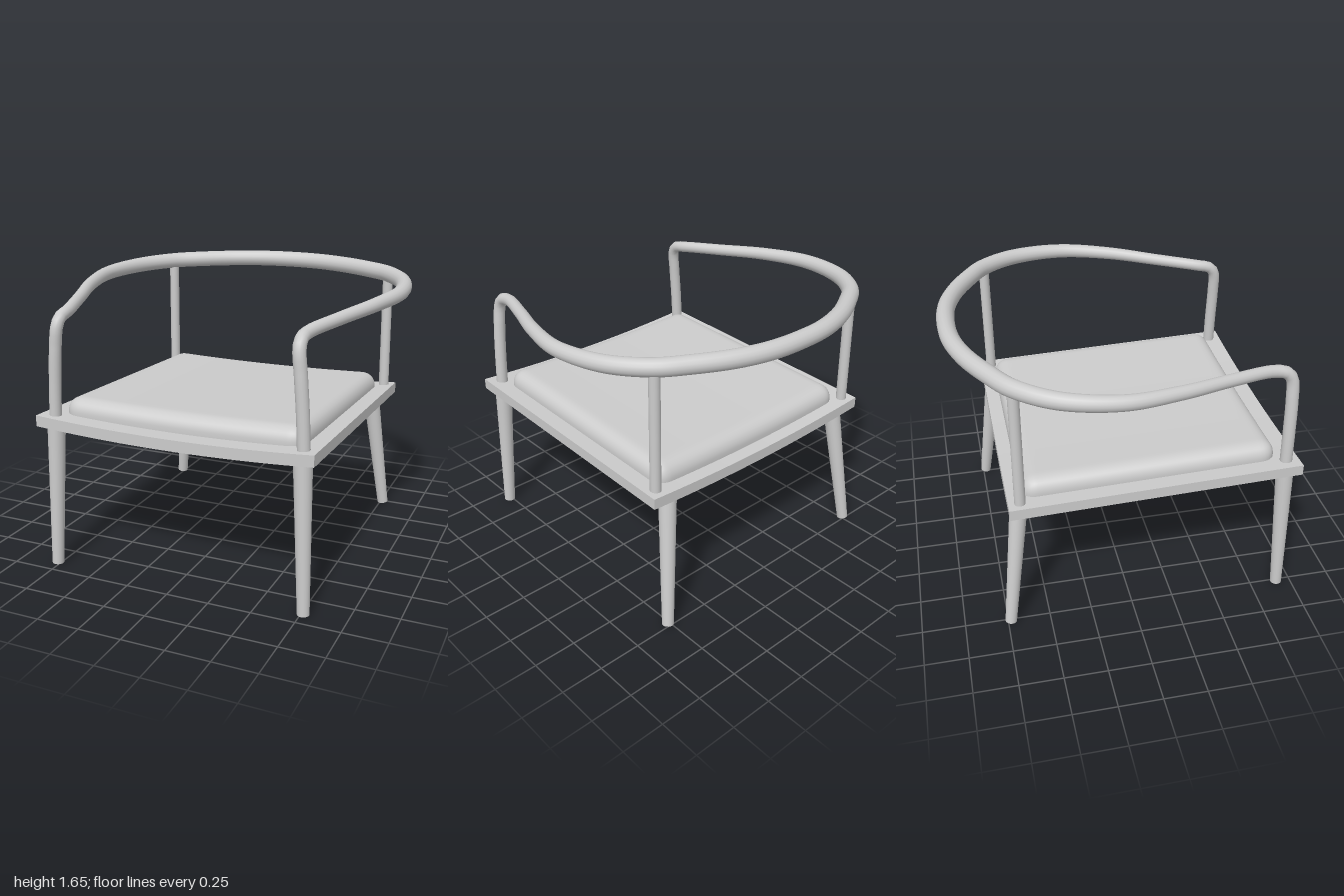
import * as THREE from 'three';
import { mergeVertices } from 'three/addons/utils/BufferGeometryUtils.js';

const material = new THREE.MeshStandardMaterial({ color: 0xcccccc });
const v = (x, y, z) => new THREE.Vector3(x, y, z);

function add(group, name, geometry) {
  const mesh = new THREE.Mesh(geometry, material);
  mesh.name = name;
  group.add(mesh);
  return mesh;
}

function moveVertices(geometry, rule) {
  const pos = geometry.attributes.position, p = v(0, 0, 0);
  for (let i = 0; i < pos.count; i++) {
    p.fromBufferAttribute(pos, i);
    rule(p, i);
    pos.setXYZ(i, p.x, p.y, p.z);
  }
  geometry.computeVertexNormals();
  return geometry;
}

// Seat surface: falls towards the back and sags across the width
const seatHeight = (x, z) => 0.888 + 0.033 * z - 0.03 * (1 - (x / 0.82) ** 2);
const bendToSeat = (p) => { p.y += seatHeight(p.x, p.z); };

// Box given by its limits, bent to the seat surface
function seatBox(x0, x1, y0, y1, z0, z1) {
  const g = new THREE.BoxGeometry(x1 - x0, y1 - y0, z1 - z0, x1 - x0 > 1 ? 20 : 1, 1, 1);
  g.translate((x0 + x1) / 2, (y0 + y1) / 2, (z0 + z1) / 2);
  return moveVertices(g, bendToSeat);
}

// Round bar from one point to another, with its own radius at each end
function bar(group, name, bottom, top, rBottom, rTop) {
  const dir = top.clone().sub(bottom);
  const mesh = add(group, name, new THREE.CylinderGeometry(rTop, rBottom, dir.length(), 20));
  mesh.position.copy(bottom).add(top).multiplyScalar(0.5);
  mesh.quaternion.setFromUnitVectors(v(0, 1, 0), dir.normalize());
}

// Cushion: box with rounded edges, flat below, slightly crowned on top
function cushionGeometry() {
  const half = v(0.72, 0.095, 0.73), r = 0.085;
  const box = new THREE.BoxGeometry(half.x * 2, half.y * 2, half.z * 2, 60, 10, 60);
  box.deleteAttribute('uv');
  box.deleteAttribute('normal');
  const inner = half.clone().subScalar(r), low = inner.clone().negate();
  return moveVertices(mergeVertices(box), (p) => {
    const core = p.clone().clamp(low, inner);
    p.sub(core).setLength(r).add(core);
    p.y = Math.max(p.y, -0.02);
    if (p.y > 0) p.y += 0.008 * (1 - (p.x / half.x) ** 2);
    p.z += 0.11;
    bendToSeat(p);
  });
}

// Arm and back rail: one bent tube, thickest at the back
function railGeometry() {
  const side = [
    v(0.74, 0.89, 0.885), v(0.73, 1.1, 0.885), v(0.715, 1.3, 0.885), v(0.702, 1.425, 0.877),
    v(0.699, 1.467, 0.845), v(0.703, 1.487, 0.765), v(0.79, 1.515, 0.5), v(0.897, 1.542, 0.2),
    v(0.957, 1.56, -0.11), v(0.895, 1.573, -0.42), v(0.75, 1.583, -0.63), v(0.6, 1.588, -0.735),
    v(0.4, 1.592, -0.84), v(0.2, 1.595, -0.9),
  ];
  const mirrored = side.map((p) => v(-p.x, p.y, p.z)).reverse();
  const curve = new THREE.CatmullRomCurve3([...side, v(0, 1.596, -0.915), ...mirrored]);
  const rings = 160, sides = 16;
  const g = new THREE.TubeGeometry(curve, rings, 1, sides);
  const pos = g.attributes.position, n = g.attributes.normal;
  for (let i = 0; i <= rings; i++) {
    const c = curve.getPointAt(i / rings);
    const r = 0.035 + 0.016 * THREE.MathUtils.smoothstep(-c.z, -0.7, 0.9);
    for (let j = 0; j <= sides; j++) {
      const k = i * (sides + 1) + j;
      pos.setXYZ(k, c.x + n.getX(k) * r, c.y + n.getY(k) * r, c.z + n.getZ(k) * r);
    }
  }
  return g;
}

export function createModel() {
  const chair = new THREE.Group();
  chair.name = 'armchair';

  // Seat board with a thin rim hanging below its edge
  const frame = new THREE.Group();
  frame.name = 'seatFrame';
  chair.add(frame);
  add(frame, 'seatBoard', seatBox(-0.8, 0.8, -0.03, 0, -0.68, 0.94));
  add(frame, 'frontRim', seatBox(-0.82, 0.82, -0.064, 0, 0.935, 0.96));
  add(frame, 'backRim', seatBox(-0.82, 0.82, -0.064, 0, -0.7, -0.675));
  add(frame, 'leftRim', seatBox(0.795, 0.82, -0.064, 0, -0.675, 0.935));
  add(frame, 'rightRim', seatBox(-0.82, -0.795, -0.064, 0, -0.675, 0.935));

  add(chair, 'cushion', cushionGeometry());
  add(chair, 'armAndBackRail', railGeometry());

  // Splayed, tapered legs and the posts holding up the back rail
  for (const [label, s] of [['Left', 1], ['Right', -1]]) {
    bar(chair, 'front' + label + 'Leg', v(s * 0.765, 0.003, 0.912), v(s * 0.735, 0.895, 0.885), 0.034, 0.052);
    bar(chair, 'back' + label + 'Leg', v(s * 0.765, 0.005, -0.733), v(s * 0.67, 0.845, -0.63), 0.034, 0.052);
    bar(chair, 'back' + label + 'Post', v(s * 0.757, 0.85, -0.635), v(s * 0.752, 1.575, -0.635), 0.031, 0.031);
  }
  return chair;
}
